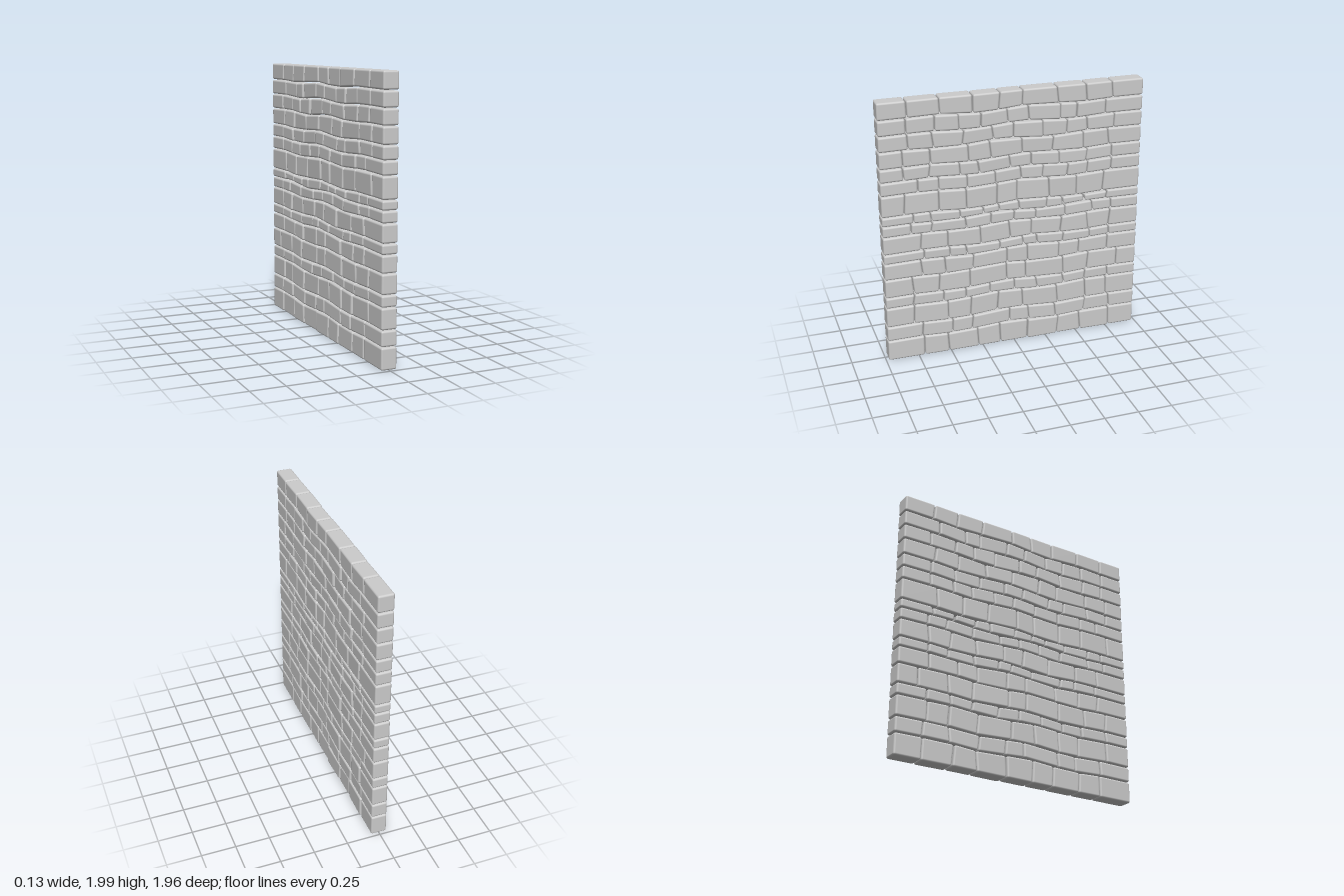
import * as THREE from 'three';
import { RoundedBoxGeometry } from 'three/addons/geometries/RoundedBoxGeometry.js';

const LENGTH = 1.965, HEIGHT = 2, DEPTH = 0.116, GAP = 0.003, RADIUS = 0.014;

// Courses from the top down: bottom height, stone count, length of front and back end stones
const COURSES = [
  [1.87, 9, 0.21, 0.24],
  [1.755, 10, 0.2, 0.29],
  [1.64, 10, 0.21, 0.22],
  [1.515, 9, 0.17, 0.26],
  [1.415, 10, 0.17, 0.23],
  [1.315, 10, 0.27, 0.23],
  [1.155, 9, 0.17, 0.29],
  [1.085, 11, 0.23, 0.26],
  [1.0, 10, 0.21, 0.22],
  [0.865, 9, 0.28, 0.23],
  [0.79, 10, 0.3, 0.23],
  [0.665, 9, 0.28, 0.24],
  [0.52, 9, 0.21, 0.16],
  [0.435, 10, 0.21, 0.23],
  [0.28, 9, 0.21, 0.24],
  [0.165, 9, 0.27, 0.21],
  [0.003, 9, 0.28, 0.21],
];
const LOOSE_COURSE = 7, LOOSE_STONES = [8, 9];

const lerp = THREE.MathUtils.lerp;

function makeRandom(seed) {
  return () => {
    seed = (seed * 16807) % 2147483647;
    return (seed / 2147483647) * 2 - 1; // -1 to 1
  };
}

// Bed joint as a height along the wall: wavy in the middle, level at both ends
function makeBed(height, wave, phase) {
  return (s) => {
    const t = s / LENGTH;
    return height + wave * Math.sin(Math.PI * t) * Math.sin(Math.PI * 5 * t + phase);
  };
}

// Upright joints of a course: irregular and slightly leaning between straight wall ends
function makeJoints(count, first, last, random) {
  const joints = [{ top: 0, bottom: 0 }];
  const step = (LENGTH - first - last) / (count - 2);
  for (let i = 0; i < count - 1; i++) {
    const inner = i > 0 && i < count - 2;
    const s = first + step * (i + (inner ? random() * 0.22 : 0));
    const lean = random() * 0.008;
    joints.push({ top: s - lean, bottom: s + lean });
  }
  joints.push({ top: LENGTH, bottom: LENGTH });
  return joints;
}

// Rounded block warped to fit between its two beds and two upright joints
function stoneGeometry(topBed, bottomBed, a, b, gap) {
  const corner = (bed, s, side, rise) => ({ s: s + side * gap, y: bed(s) + rise * gap });
  const ta = corner(topBed, a.top, 1, -1), tb = corner(topBed, b.top, -1, -1);
  const ba = corner(bottomBed, a.bottom, 1, 1), bb = corner(bottomBed, b.bottom, -1, 1);
  const w = (tb.s + bb.s - ta.s - ba.s) / 2;
  const h = (ta.y + tb.y - ba.y - bb.y) / 2;
  const geo = new RoundedBoxGeometry(DEPTH, h, w, 2, RADIUS);
  const pos = geo.attributes.position;
  for (let i = 0; i < pos.count; i++) {
    const u = 0.5 - pos.getZ(i) / w, v = 0.5 + pos.getY(i) / h;
    const s = lerp(lerp(ba.s, bb.s, u), lerp(ta.s, tb.s, u), v);
    const y = lerp(lerp(ba.y, bb.y, u), lerp(ta.y, tb.y, u), v);
    pos.setXYZ(i, pos.getX(i), y, LENGTH / 2 - s);
  }
  geo.computeBoundingBox();
  const centre = geo.boundingBox.getCenter(new THREE.Vector3());
  geo.translate(-centre.x, -centre.y, -centre.z);
  return { geo, centre };
}

export function createModel() {
  const wall = new THREE.Group();
  wall.name = 'stoneWall';
  const material = new THREE.MeshStandardMaterial({ color: 0xcccccc });
  const random = makeRandom(4711);
  let topBed = makeBed(HEIGHT, 0, 0);

  COURSES.forEach(([height, count, first, last], row) => {
    const course = new THREE.Group();
    course.name = `course${row + 1}`;
    const wave = row === COURSES.length - 1 ? 0 : 0.012;
    const bottomBed = makeBed(height, wave, random() * 1.2);
    const joints = makeJoints(count, first, last, random);

    for (let i = 0; i < count; i++) {
      const loose = row === LOOSE_COURSE && LOOSE_STONES.includes(i);
      const { geo, centre } = stoneGeometry(
        topBed, bottomBed, joints[i], joints[i + 1], loose ? 0.006 : GAP);
      const stone = new THREE.Mesh(geo, material);
      stone.name = `stone${i + 1}`;
      stone.position.copy(centre);
      // Inner stones stand a little proud or tilted
      if (i > 0 && i < count - 1) {
        stone.position.x += random() * 0.004;
        stone.rotation.y = random() * 0.025;
        if (row > 0 && row < COURSES.length - 1) stone.rotation.z = random() * 0.02;
      }
      course.add(stone);
    }
    wall.add(course);
    topBed = bottomBed;
  });

  return wall;
}
